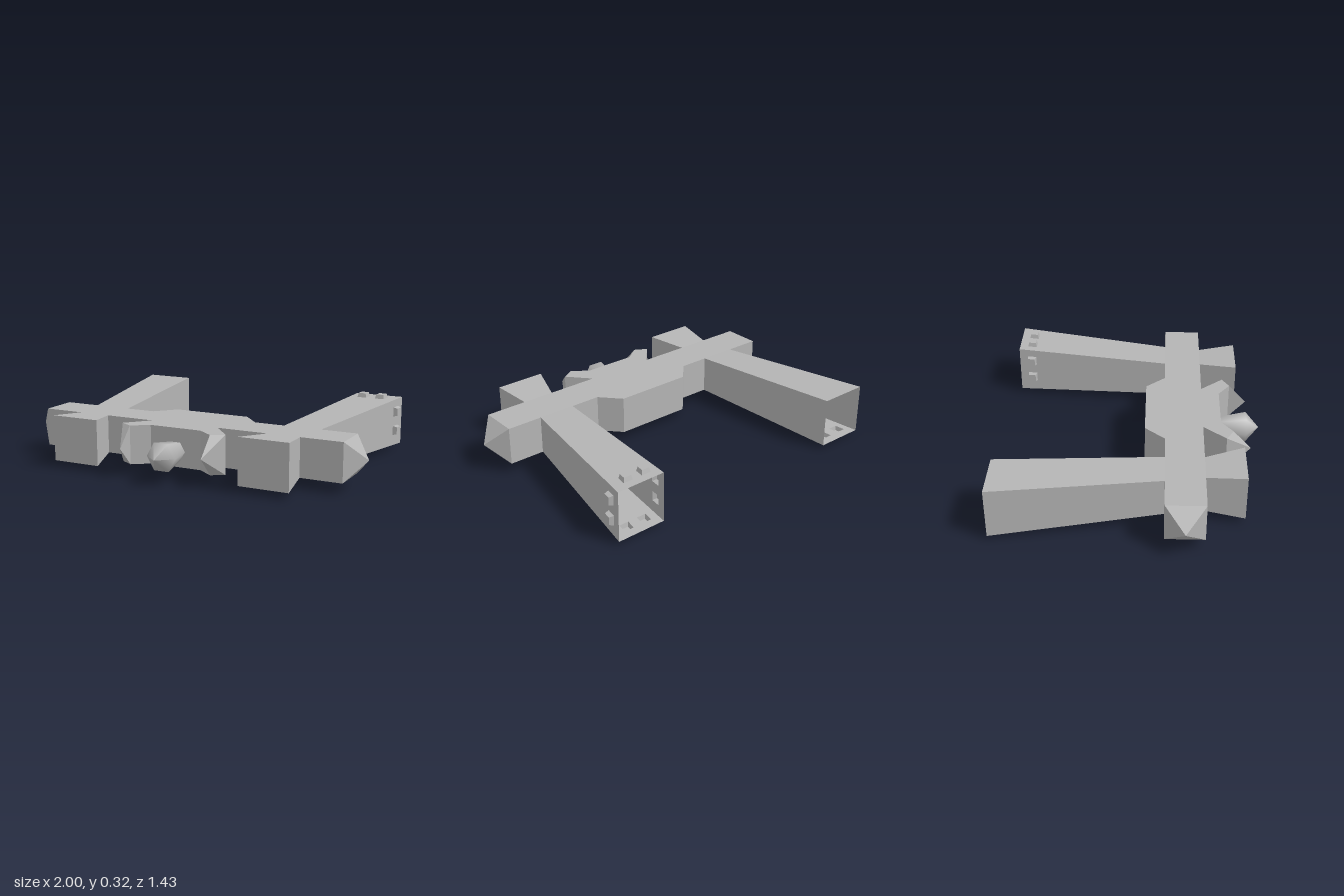
import * as THREE from 'three';
import { mergeGeometries } from 'three/addons/utils/BufferGeometryUtils.js';

const V = (x, y, z) => new THREE.Vector3(x, y, z);
const LO = 0.057, HI = 0.27, MID = 0.163;

// Flat-shaded copy with positions and normals only
function facet(geo) {
  const g = geo.index ? geo.toNonIndexed() : geo;
  g.deleteAttribute('uv');
  g.computeVertexNormals();
  return g;
}

// Point on a four-cornered patch
function patch([a, b, c, d], u, v) {
  return a.clone().lerp(b, u).lerp(d.clone().lerp(c, u), v);
}

// Four-cornered panel with optional rectangular holes [u0, u1, v0, v1]
function panel(corners, holes = []) {
  const square = (u0, u1, v0, v1) =>
    [[u0, v0], [u1, v0], [u1, v1], [u0, v1]].map(p => new THREE.Vector2(...p));
  const shape = new THREE.Shape(square(0, 1, 0, 1));
  for (const h of holes) shape.holes.push(new THREE.Path(square(...h).reverse()));
  const geo = new THREE.ShapeGeometry(shape);
  const pos = geo.attributes.position;
  for (let i = 0; i < pos.count; i++) {
    pos.setXYZ(i, ...patch(corners, pos.getX(i), pos.getY(i)));
  }
  return facet(geo);
}

// Pyramid sides from a ring to a point
function spike(ring, apex) {
  return ring.map((p, i) =>
    facet(new THREE.BufferGeometry().setFromPoints([p, ring[(i + 1) % 4], apex])));
}

// Sides joining two four-cornered rings
function sides(r0, r1) {
  return r0.map((p, i) => [p, r0[(i + 1) % 4], r1[(i + 1) % 4], r1[i]]);
}

// Rectangle across the arm direction, clockwise from the inner top
const rect = (x0, x1, y0, y1, z) => [V(x0, y1, z), V(x1, y1, z), V(x1, y0, z), V(x0, y0, z)];

// Hull half: outline from the back centre round to the front centre
const OUTLINE = [
  [0, 0.07], [0.22, 0.07], [0.32, 0.18], [0.49, 0.18], [0.70, 0.18], [0.90, 0.18],
  [0.90, 0.39], [0.668, 0.39], [0.487, 0.39], [0.20, 0.39], [0.31, 0.515],
  [0.24, 0.555], [0.15, 0.49], [0, 0.49],
];
const OPENINGS = [3, 7];
const SPIKES = { 5: V(1, MID, 0.285), 10: V(0.24, MID, 0.655) };

function hullHalf() {
  const shape = sign => new THREE.ShapeGeometry(
    new THREE.Shape(OUTLINE.map(([x, z]) => new THREE.Vector2(x, sign * z))));
  const parts = [
    facet(shape(-1).rotateX(-Math.PI / 2).translate(0, HI, 0)),
    facet(shape(1).rotateX(Math.PI / 2).translate(0, LO, 0)),
  ];
  for (let i = 0; i < OUTLINE.length - 1; i++) {
    if (OPENINGS.includes(i)) continue;
    const [[px, pz], [qx, qz]] = [OUTLINE[i], OUTLINE[i + 1]];
    const ring = [V(px, LO, pz), V(px, HI, pz), V(qx, HI, qz), V(qx, LO, qz)];
    parts.push(...(SPIKES[i] ? spike(ring, SPIKES[i]) : [panel(ring)]));
  }
  return mergeGeometries(parts);
}

// Hollow flared arm, open at the rear, with raised hollow studs near its end
function rearArm(studs) {
  const parts = [];
  const walls = sides(rect(0.49, 0.70, LO, HI, 0.18), rect(0.585, 0.863, 0.023, 0.303, -0.72));
  walls.forEach((wall, i) => {
    const holes = (studs[i] || []).map(u => [u - 0.1, u + 0.1, 0.886, 0.946]);
    parts.push(panel(wall, holes));
    const normal = wall[1].clone().sub(wall[0]).cross(wall[3].clone().sub(wall[0])).normalize();
    for (const [u0, u1, v0, v1] of holes) {
      const base = [[u0, v0], [u1, v0], [u1, v1], [u0, v1]].map(([u, v]) => patch(wall, u, v));
      const centre = patch(wall, (u0 + u1) / 2, (v0 + v1) / 2);
      const top = base.map(p => p.clone().lerp(centre, 0.22).addScaledVector(normal, 0.024));
      parts.push(...sides(base, top).map(s => panel(s)), panel(top));
    }
  });
  return mergeGeometries(parts);
}

// Short flared block with a closed front
function frontBlock() {
  const r0 = rect(0.487, 0.668, LO, HI, 0.39).reverse();
  const r1 = rect(0.42, 0.70, 0.036, 0.29, 0.603).reverse();
  return mergeGeometries([...sides(r0, r1).map(s => panel(s)), panel(r1)]);
}

export function createModel() {
  const model = new THREE.Group();
  const grey = new THREE.MeshStandardMaterial({ color: 0xb4b4b4, side: THREE.DoubleSide });
  grey.name = 'hullGrey';
  const add = (parent, name, geo) => {
    const mesh = new THREE.Mesh(geo, grey);
    mesh.name = name;
    parent.add(mesh);
  };

  // Stud positions per wall: top, outer, bottom, inner
  const fullStuds = [[0.27, 0.67], [0.26, 0.67], [0.33, 0.73], [0.33, 0.74]];
  const bottomStuds = [[], [], [0.24, 0.65], []];

  for (const side of [1, -1]) {
    const half = new THREE.Group();
    half.name = side > 0 ? 'leftHalf' : 'rightHalf';
    half.scale.x = side;
    add(half, 'hull', hullHalf());
    add(half, 'rearArm', rearArm(side > 0 ? fullStuds : bottomStuds));
    add(half, 'frontBlock', frontBlock());
    model.add(half);
  }

  // Six-sided nose, smooth shaded
  const profile = [[0.055, 0.48], [0.085, 0.64], [0, 0.715]].map(p => new THREE.Vector2(...p));
  const nose = new THREE.LatheGeometry(profile, 6, Math.PI / 6);
  nose.rotateX(Math.PI / 2).translate(0, 0.143, 0);
  add(model, 'nose', nose);

  return model;
}
